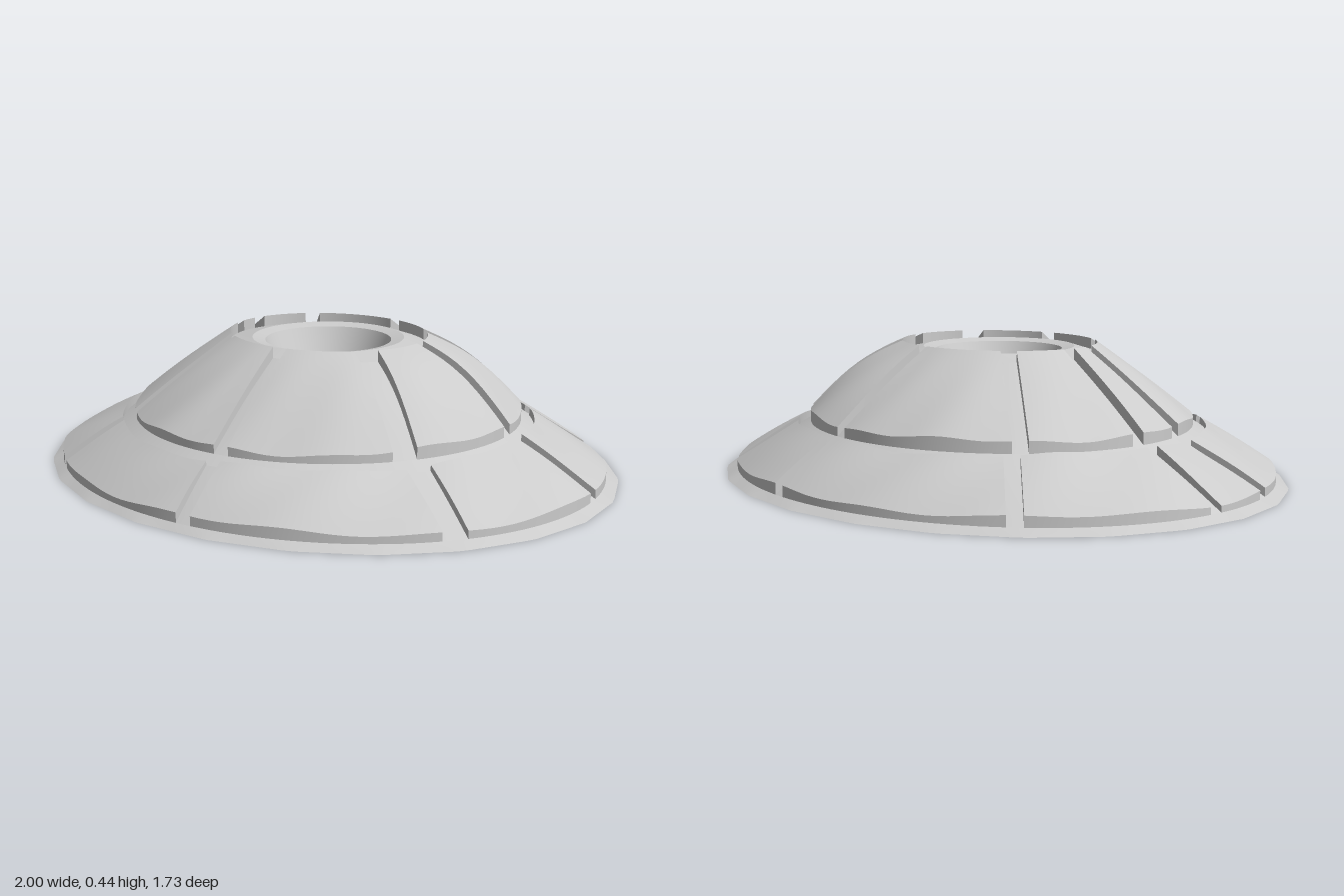
import * as THREE from 'three';

// Oval contour rings from the ground up, then down into the crater:
// [x radius, z radius, height, forward shift]
const RINGS = [
  [1, 0.864, 0, 0], [0.955, 0.828, 0.018, 0.004], [0.7, 0.66, 0.15, 0.014], [0.655, 0.62, 0.175, 0.014],
  [0.345, 0.302, 0.405, 0], [0.252, 0.25, 0.424, 0], [0.209, 0.209, 0.415, 0], [0.12, 0.12, 0.2, 0],
];
const BANDS = [
  'groundEdge', 'lowerSlope', 'terraceGroove', 'upperSlope', 'summitGroove', 'craterLip', 'craterWall',
];
// Radial seams: [lower angle, upper angle in degrees from +x towards +z, half width]
const SEAMS = [
  [-81.5, -81.5, 0.021], [-44, -41.5, 0.029], [-8.5, -9.5, 0.022], [26.5, 28.5, 0.038], [79.3, 79.3, 0.026],
  [129.5, 129.3, 0.022], [168, 168, 0.022], [184, 185, 0.022], [222, 219.5, 0.025], [278.5, 278.5, 0.021],
];
const DEG = Math.PI / 180;
const material = new THREE.MeshStandardMaterial({ color: 0xcccccc, side: THREE.DoubleSide });

// Point on one contour ring at a true angle; the ground edge is a 24-sided polygon
function ringPoint(k, a) {
  const [rx, rz, y, shift] = RINGS[k];
  const phi = Math.atan2(Math.sin(a) / rz, Math.cos(a) / rx);
  const step = Math.PI / 12;
  const local = ((phi % step) + step) % step - step / 2;
  const s = k === 0 ? Math.cos(step / 2) / Math.cos(local) : 1;
  const sin = Math.sin(phi);
  return new THREE.Vector3(rx * s * Math.cos(phi), y, (rz + shift * sin) * s * sin);
}

// Point on the slope between ring k and the next one, the upper tier bulging on the +x side
function slopePoint(k, a, f) {
  const p = ringPoint(k, a).lerp(ringPoint(k + 1, a), f);
  const bulge = { 1: 0.003, 3: 0.006 + 0.03 * Math.max(0, Math.cos(a)) }[k] ?? 0;
  p.y += bulge * Math.sin(Math.PI * f);
  return p;
}

// Uneven thickness of the raised slabs, thinner beside the terrace at the front
function thickness(k, a, f) {
  const wave = 0.005 * Math.sin(5 * a + 2 * k) + 0.004 * Math.sin(13 * a + 3 * f + k);
  const front = Math.max(0, Math.sin(a));
  return k === 1 ? 0.028 + wave - 0.014 * front * f : 0.036 + (wave - 0.012 * front) * (1 - f);
}

// Grid surface through point(u, v), u and v from 0 to 1
function surface(name, nu, nv, point) {
  const positions = [], index = [];
  for (let j = 0; j <= nv; j++) {
    for (let i = 0; i <= nu; i++) positions.push(...point(i / nu, j / nv).toArray());
  }
  for (let j = 0; j < nv; j++) {
    for (let i = 0; i < nu; i++) {
      const a = j * (nu + 1) + i, b = a + 1, c = a + nu + 1, d = c + 1;
      index.push(a, c, b, b, c, d);
    }
  }
  const geometry = new THREE.BufferGeometry();
  geometry.setAttribute('position', new THREE.Float32BufferAttribute(positions, 3));
  geometry.setIndex(index);
  geometry.computeVertexNormals();
  const mesh = new THREE.Mesh(geometry, material);
  mesh.name = name;
  return mesh;
}

// Angle on a seam's edge: side -1 or 1, narrowing with distance so the seam keeps its width
function seamAngle([lower, upper, half], side, k, f) {
  const a = (k === 1 ? lower : upper) * DEG;
  const p = slopePoint(k, a, f);
  return a + side * half / Math.hypot(p.x, p.z);
}

// Raised slab between two seams: a top and four upright walls
function slab(k, from, to) {
  const group = new THREE.Group();
  group.name = k === 1 ? 'lowerSlab' : 'upperSlab';
  const at = (u, f, h) => {
    const a = THREE.MathUtils.lerp(seamAngle(from, 1, k, f), seamAngle(to, -1, k, f), u);
    const p = slopePoint(k, a, f);
    p.y += h * thickness(k, a, f);
    return p;
  };
  group.add(surface('slabTop', 20, 10, (u, f) => at(u, f, 1)));
  const edges = [
    (t, h) => at(t, 0, h), (t, h) => at(1, t, h),
    (t, h) => at(1 - t, 1, h), (t, h) => at(0, 1 - t, h),
  ];
  edges.forEach((edge, i) => group.add(surface('slabWall', i % 2 ? 10 : 20, 1, edge)));
  return group;
}

export function createModel() {
  const model = new THREE.Group();
  model.name = 'craterMound';

  // Continuous shell, band by band from the ground edge into the crater
  BANDS.forEach((name, k) => {
    model.add(surface(name, 144, 10, (u, f) => slopePoint(k, u * 2 * Math.PI, f)));
  });

  // Two tiers of raised slabs, leaving sunken seams between them
  for (const k of [1, 3]) {
    for (let i = 0; i < SEAMS.length - 1; i++) model.add(slab(k, SEAMS[i], SEAMS[i + 1]));
  }

  // Crater floor
  const floor = new THREE.Mesh(new THREE.CircleGeometry(0.12, 48), material);
  floor.name = 'craterFloor';
  floor.rotation.x = -Math.PI / 2;
  floor.position.y = 0.2;
  model.add(floor);

  return model;
}
